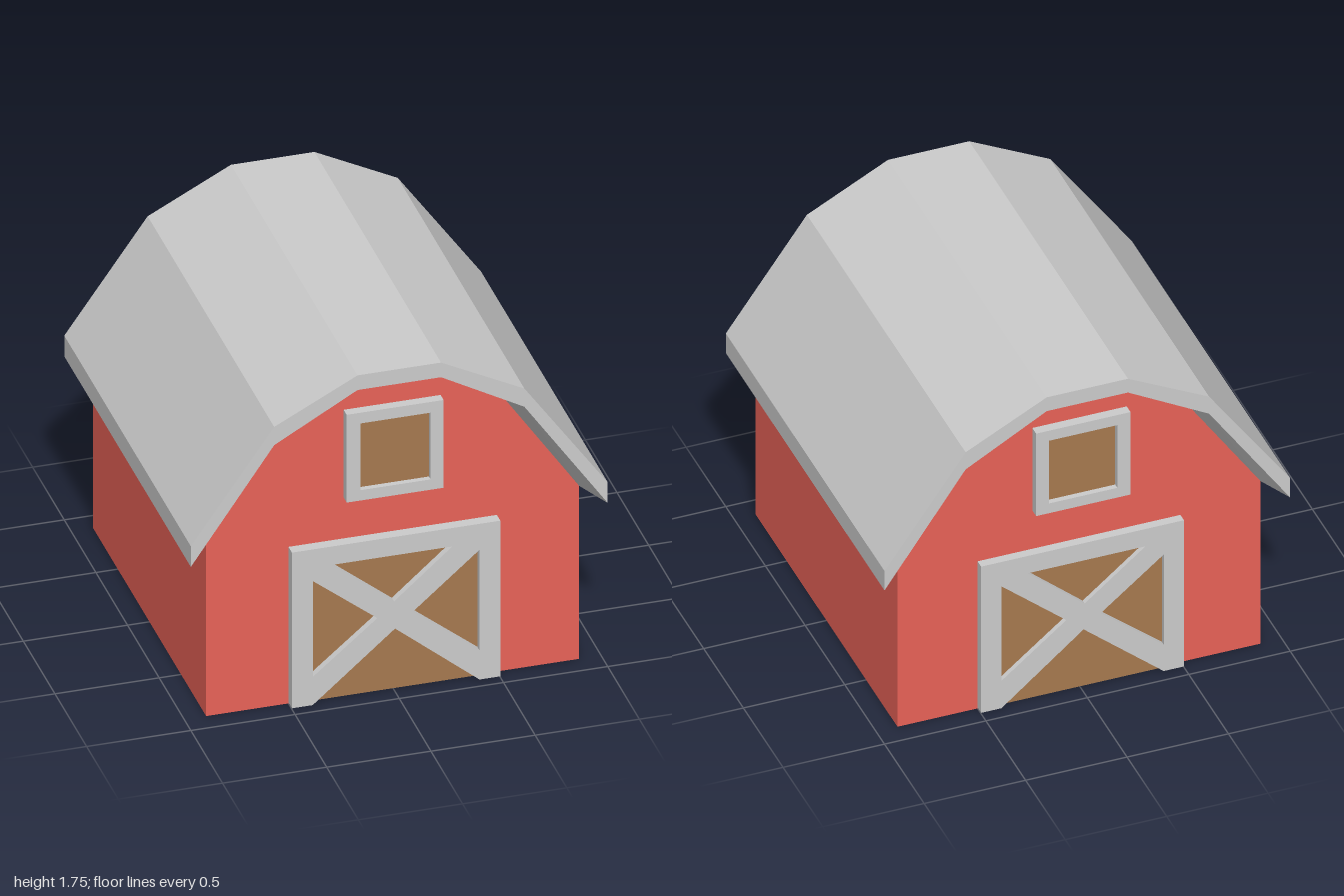
import * as THREE from 'three';

const mat = (color) => new THREE.MeshStandardMaterial({ color, flatShading: true });
const V = (pts) => pts.map(([x, y]) => new THREE.Vector2(x, y));

// Mirrors the right half of a profile, giving points from +x to -x.
const mirror = (half) => [...half, ...half.map(([x, y]) => [-x, y]).reverse()];

const wallLine = mirror([[0.895, 0.92], [0.54, 1.44], [0.18, 1.642]]);
const roofLower = mirror([[1, 0.87], [0.6, 1.45], [0.2, 1.675]]);
const roofUpper = mirror([[1, 0.98], [0.6, 1.547], [0.2, 1.753]]);

// Extrudes an outline with optional holes, from z0 to z1.
function slab(name, outline, holes, z0, z1, material) {
  const shape = new THREE.Shape(V(outline));
  shape.holes = holes.map((h) => new THREE.Path(V(h)));
  const geo = new THREE.ExtrudeGeometry(shape, { depth: z1 - z0, bevelEnabled: false });
  geo.translate(0, 0, z0);
  const mesh = new THREE.Mesh(geo, material);
  mesh.name = name;
  return mesh;
}

const rect = (x0, y0, x1, y1) => [[x0, y0], [x1, y0], [x1, y1], [x0, y1]];

// Roof skin: rings run from the front wall, round the overhang, to the back wall.
function roofGeometry() {
  const rings = [
    [wallLine, 0.895], [roofLower, 1], [roofUpper, 1],
    [roofUpper, -1], [roofLower, -1], [wallLine, -0.895],
  ].map(([line, z]) => line.map(([x, y]) => [x, y, z]));
  const pos = [];
  const quad = (a, b, c, d) => pos.push(...a, ...b, ...c, ...a, ...c, ...d);
  for (let i = 0; i < 5; i++) {
    for (let j = 0; j < 5; j++) {
      quad(rings[i][j], rings[i + 1][j], rings[i + 1][j + 1], rings[i][j + 1]);
    }
  }
  // Eave edges and their undersides
  for (const [hi, lo] of [[2, 1], [1, 0]]) {
    const r = (i, j) => rings[i][j];
    quad(r(hi, 0), r(lo, 0), r(5 - lo, 0), r(5 - hi, 0));
    quad(r(5 - hi, 5), r(5 - lo, 5), r(lo, 5), r(hi, 5));
  }
  const geo = new THREE.BufferGeometry();
  geo.setAttribute('position', new THREE.Float32BufferAttribute(pos, 3));
  geo.computeVertexNormals();
  return geo;
}

export function createModel() {
  const barn = new THREE.Group();
  barn.name = 'barn';
  const red = mat(0xe86257), brown = mat(0xa6794f), grey = mat(0xcccccc);

  // Walls
  barn.add(slab('walls', [[-0.895, 0], [0.895, 0], ...wallLine], [], -0.895, 0.895, red));

  // Gambrel roof
  const roof = new THREE.Mesh(roofGeometry(), grey);
  roof.name = 'roof';
  barn.add(roof);

  // Door frame with crossed braces, open at the bottom
  const doorOutline = [[-0.5, 0.005], [-0.4, 0.005], [-0.005, 0.345], [0.4, 0.005],
    [0.5, 0.005], [0.5, 0.833], [-0.5, 0.833]];
  const doorHoles = [
    [[-0.31, 0.735], [0.27, 0.735], [-0.01, 0.49]],
    [[-0.4, 0.665], [-0.09, 0.415], [-0.4, 0.155]],
    [[0.4, 0.695], [0.08, 0.42], [0.4, 0.16]],
  ];

  // Doors and loft windows on both gable ends
  for (const [end, s] of [['front', 1], ['back', -1]]) {
    const part = (name, outline, holes, out, m) => {
      const face = s * (0.895 + out), wall = s * 0.885;
      barn.add(slab(end + name, outline, holes, Math.min(face, wall), Math.max(face, wall), m));
    };
    part('DoorFrame', doorOutline, doorHoles, s > 0 ? 0.055 : 0.045, grey);
    part('DoorPanel', rect(-0.45, 0.008, 0.45, 0.8), [], 0.02, brown);
    part('WindowFrame', rect(-0.235, 1.05, 0.23, 1.517), [rect(-0.17, 1.105, 0.168, 1.46)], 0.048, grey);
    part('WindowPanel', rect(-0.2, 1.08, 0.2, 1.49), [], 0.02, brown);
  }
  return barn;
}
